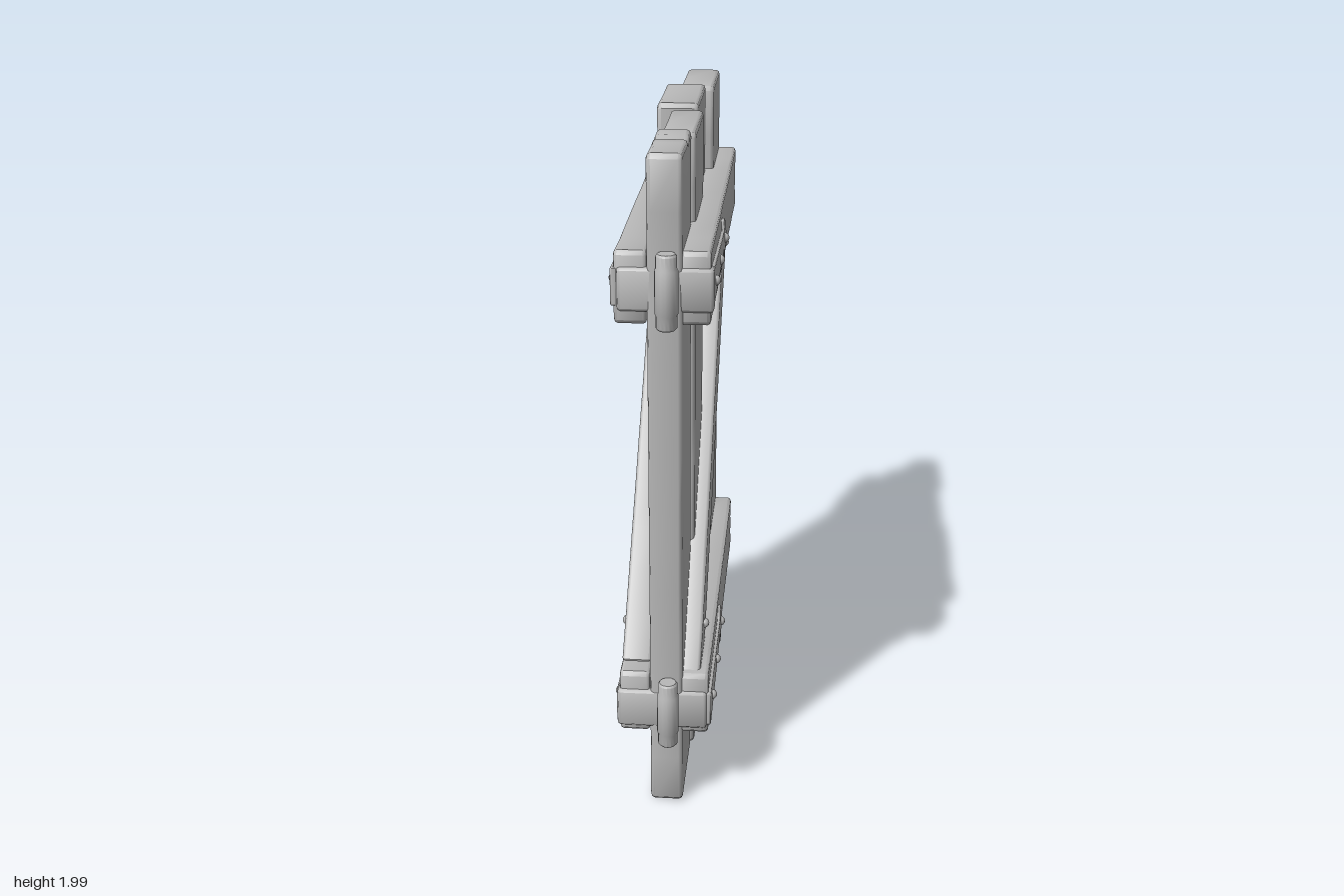
import * as THREE from 'three';
import { toCreasedNormals } from 'three/addons/utils/BufferGeometryUtils.js';

const material = new THREE.MeshStandardMaterial({ color: 0xb8b8b8 });
material.name = 'plain grey';

function seeded(seed) {
  let s = seed * 7919 + 17;
  return () => (s = (s * 16807) % 2147483647) / 2147483647;
}

// Hand-hewn outline: clipped corners, uneven edges, optional notches.
// Corners are [z, y]; notches are [edge, t, depth, halfWidth].
function hewnShape(corners, seed, wobble, clip, notches) {
  const rnd = seeded(seed);
  const pts = [];
  corners.forEach(([za, ya], i) => {
    const a = new THREE.Vector2(-za, ya);
    const [zb, yb] = corners[(i + 1) % corners.length];
    const dir = new THREE.Vector2(-zb, yb).sub(a);
    const len = dir.length();
    dir.normalize();
    const n = Math.max(1, Math.round((len - 2 * clip) / 0.14));
    let samples = [];
    for (let k = 0; k <= n; k++) {
      const inner = k > 0 && k < n;
      samples.push([clip + (len - 2 * clip) * k / n, inner ? rnd() * wobble : 0]);
    }
    for (const [edge, t, depth, w] of notches) {
      if (edge !== i) continue;
      samples = samples.filter(s => Math.abs(s[0] - t * len) > w * 1.3);
      samples.push([t * len - w, 0.001], [t * len, depth], [t * len + w, 0.001]);
    }
    samples.sort((p, q) => p[0] - q[0]);
    for (const [d, off] of samples) {
      pts.push(new THREE.Vector2(a.x + dir.x * d - dir.y * off, a.y + dir.y * d + dir.x * off));
    }
  });
  return new THREE.Shape(pts);
}

// Slab lying in the z-y plane, filling x0..x1, with softened edges.
function slab(name, corners, x0, x1, { seed = 1, wobble = 0, clip = 0.012, bevel = 0.012, notches = [] } = {}) {
  const geo = new THREE.ExtrudeGeometry(hewnShape(corners, seed, wobble, clip, notches), {
    depth: x1 - x0 - 2 * bevel, bevelEnabled: true, bevelThickness: bevel,
    bevelSize: bevel, bevelOffset: -bevel, bevelSegments: 2,
  });
  geo.translate(0, 0, x0 + bevel);
  geo.rotateY(Math.PI / 2);
  const mesh = new THREE.Mesh(toCreasedNormals(geo, 0.8), material);
  mesh.name = name;
  return mesh;
}

// Corner order: edge 0 bottom, 1 back (-z) end, 2 top, 3 front (+z) end.
const rect = (zf, zb, y0, y1) => [[zf, y0], [zb, y0], [zb, y1], [zf, y1]];

function stud(x, y, z) {
  const mesh = new THREE.Mesh(new THREE.SphereGeometry(0.015, 12, 8), material);
  mesh.name = 'stud';
  mesh.position.set(x, y, z);
  return mesh;
}

export function createModel() {
  const door = new THREE.Group();
  door.name = 'plankDoor';

  // Four upright planks, staggered in depth
  const planks = [
    [[[0.64, 0.01], [0.333, 0.01], [0.336, 2.0], [0.65, 2.0]], -0.04, 0.056, [[2, 0.33, 0.016, 0.03]]],
    [rect(0.325, 0.002, 0.01, 1.985), -0.03, 0.067, [[0, 0.4, 0.014, 0.04]]],
    [rect(-0.004, -0.329, 0.01, 2.0), -0.073, 0.05, [[3, 0.35, 0.014, 0.06]]],
    [rect(-0.333, -0.645, 0.01, 1.99), -0.03, 0.075, [[3, 0.62, 0.014, 0.07]]],
  ];
  planks.forEach(([corners, x0, x1, notches], i) => {
    door.add(slab('plank', corners, x0, x1,
      { seed: i + 3, wobble: 0.005, clip: 0.014, bevel: 0.012, notches }));
  });

  for (const side of [1, -1]) {
    const face = new THREE.Group();
    face.name = side > 0 ? 'leftFace' : 'rightFace';
    door.add(face);
    const span = (a, b) => (side > 0 ? [a, b] : [-b, -a]);

    // Crossbeams with split back ends, and an iron strap on each
    [[1.53, 1.735, 1.635], [0.25, 0.449, 0.345]].forEach(([y0, y1, ym], i) => {
      const back = i ? -0.618 : -0.635;
      face.add(slab('crossbeam', rect(0.633, back, y0, y1), ...span(0.042, 0.131), {
        seed: 11 + i + side, wobble: 0.006, bevel: 0.01,
        notches: [[1, 0.36, 0.03, 0.012], [1, 0.68, 0.026, 0.012]],
      }));

      const tilt = i ? 0.036 : 0;
      const at = (z, dy) => [z, ym + dy + (0.34 - z) * tilt];
      const strap = [at(0.632, -0.054), at(0.165, -0.03), at(0.165, -0.062), at(0.135, -0.062),
        at(0.055, 0), at(0.135, 0.062), at(0.165, 0.062), at(0.165, 0.03), at(0.632, 0.054)];
      face.add(slab('strap', strap, ...span(0.115, 0.14), { clip: 0.003, bevel: 0.005 }));
      for (const z of [0.55, 0.355, 0.13]) face.add(stud(side * 0.138, at(z, 0)[1], z));
    });

    // Diagonal brace between the crossbeams
    const brace = side > 0
      ? [[0.61, 0.44], [0.405, 0.44], [-0.625, 1.5], [-0.62, 1.535], [-0.44, 1.535]]
      : [[0.59, 0.46], [0.45, 0.435], [-0.61, 1.48], [-0.5, 1.56]];
    const outer = side > 0 ? 0.106 : 0.128;
    face.add(slab('brace', brace, ...span(0.04, outer),
      { seed: 23 + side, wobble: 0.005, clip: 0.008, bevel: 0.01 }));
    face.add(stud(side * outer, 0.515, 0.435), stud(side * outer, 1.455, -0.455));
  }

  // Hinges: strap ends wrapped round the front edge, barrels on both edges
  for (const [y, wrapX0, wrapX1] of [[1.635, -0.122, 0.14], [0.338, -0.138, 0.127]]) {
    door.add(slab('hingeWrap', rect(0.643, 0.59, y - 0.066, y + 0.056), wrapX0, wrapX1,
      { clip: 0.008, bevel: 0.01 }));
    for (const end of [1, -1]) {
      const barrel = new THREE.Group();
      barrel.name = end > 0 ? 'frontHingeBarrel' : 'backHingeBarrel';
      barrel.position.set(end > 0 ? 0.015 : -0.005, y, end > 0 ? 0.666 : -0.664);
      const profile = [[0, -0.105], [0.024, -0.105], [0.029, -0.099], [0.029, -0.066], [0.032, -0.06],
        [0.032, 0.06], [0.029, 0.066], [0.029, 0.099], [0.024, 0.105], [0, 0.105]];
      const geo = new THREE.LatheGeometry(profile.map(p => new THREE.Vector2(...p)), 16);
      const pin = new THREE.Mesh(toCreasedNormals(geo, 0.7), material);
      pin.name = 'barrel';
      const leaf = new THREE.Mesh(new THREE.BoxGeometry(0.04, 0.12, 0.05), material);
      leaf.name = 'barrelLeaf';
      leaf.position.z = -end * 0.025;
      barrel.add(pin, leaf);
      door.add(barrel);
    }
  }
  return door;
}
